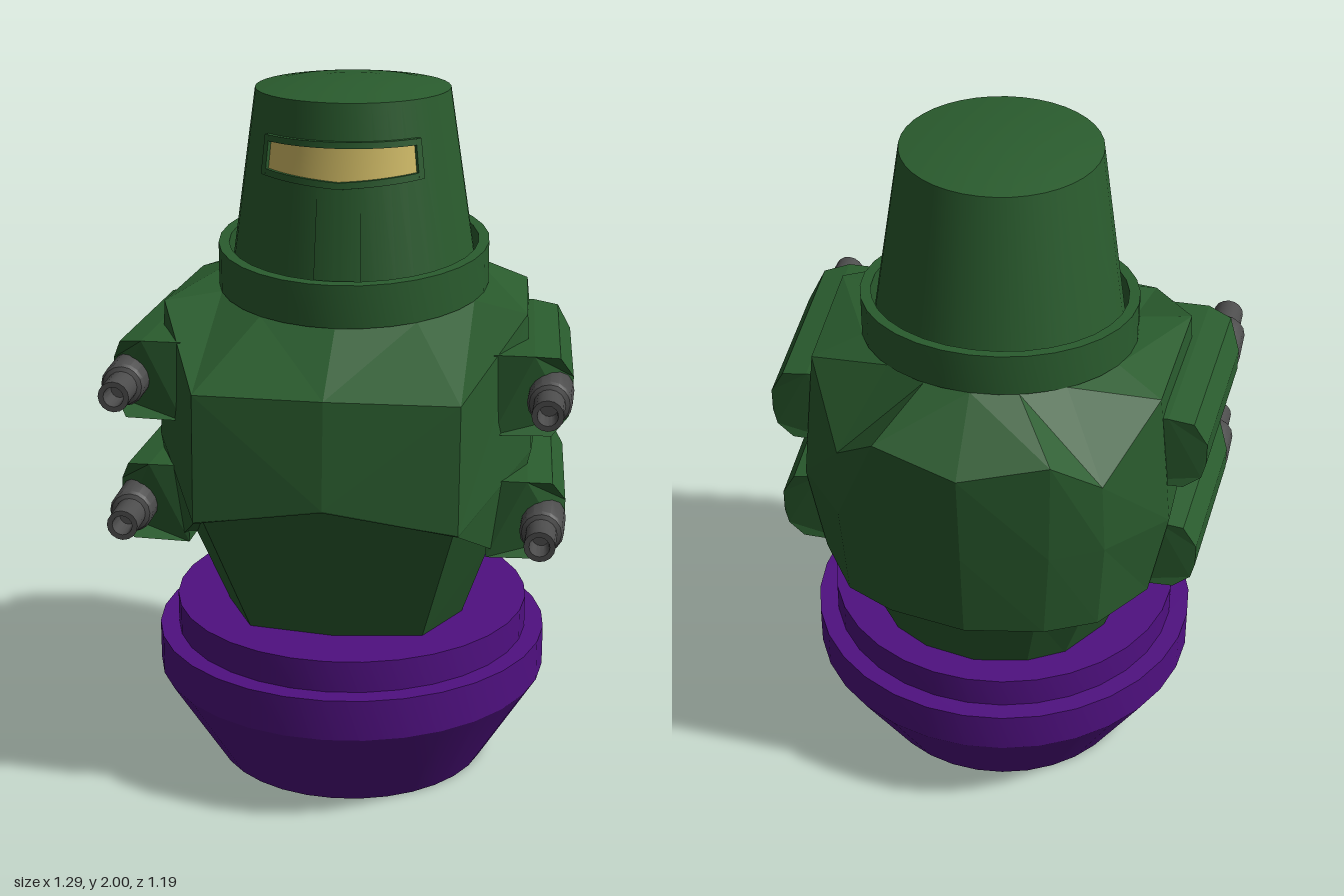
import * as THREE from 'three';
import { toCreasedNormals } from 'three/addons/utils/BufferGeometryUtils.js';

const GREEN = 0x2a5c2e, PURPLE = 0x4f1080, YELLOW = 0xd6c068, GREY = 0x4c4c4c;

const paint = (color, options = {}) => new THREE.MeshStandardMaterial({ color, ...options });

function add(parent, name, geometry, material) {
  const mesh = new THREE.Mesh(geometry, material);
  mesh.name = name;
  parent.add(mesh);
  return mesh;
}

// Move every vertex of a geometry by a rule
function warp(geometry, rule) {
  const p = geometry.attributes.position, v = new THREE.Vector3();
  for (let i = 0; i < p.count; i++) {
    rule(v.fromBufferAttribute(p, i));
    p.setXYZ(i, v.x, v.y, v.z);
  }
  geometry.computeVertexNormals();
  return geometry;
}

const lathe = (profile, sides) =>
  new THREE.LatheGeometry(profile.map(([r, y]) => new THREE.Vector2(r, y)), sides);

// Skin over half rings (front centre, round the +x side, to back centre), mirrored in x
function hullGeometry(halfRings) {
  const rings = halfRings.map(half => [
    ...half,
    ...half.slice(1, -1).reverse().map(([x, y, z]) => [-x, y, z]),
  ]);
  const n = rings[0].length, index = [];
  for (let r = 0; r < rings.length - 1; r++) {
    for (let i = 0; i < n; i++) {
      const j = (i + 1) % n;
      const a = r * n + i, b = r * n + j, c = a + n, d = b + n;
      if (i < n / 2) index.push(c, d, b, c, b, a);
      else index.push(c, d, a, d, b, a);
    }
  }
  const g = new THREE.BufferGeometry();
  g.setAttribute('position', new THREE.Float32BufferAttribute(rings.flat(2), 3));
  g.setIndex(index);
  g.computeVertexNormals();
  return g;
}

// Helmet is a leaning cone: radius and centre depend on height
const helmetRadius = y => 0.338 - (y - 1.53) * 0.148;
const helmetCentre = y => -0.043 + (y - 1.53) * 0.047;

// Box of angular width, wrapped onto the front of the helmet
function helmetStrip(a0, a1, y0, y1, inner, outer) {
  const g = new THREE.BoxGeometry(a1 - a0, y1 - y0, outer - inner, 16, 1, 1);
  g.translate((a0 + a1) / 2, (y0 + y1) / 2, (inner + outer) / 2);
  warp(g, v => {
    const a = v.x, r = helmetRadius(v.y) + v.z, z = helmetCentre(v.y);
    if (v.y > 1.75 && v.y < 1.82) v.y -= 0.018 * (1 - Math.abs(a) / 0.8);
    v.x = r * Math.sin(a);
    v.z = z + r * Math.cos(a);
  });
  return toCreasedNormals(g, 0.6);
}

function makeBase() {
  const g = lathe([[0, 0], [0.4, 0], [0.57, 0.275], [0.57, 0.395], [0.515, 0.395], [0.515, 0.487], [0, 0.487]], 32);
  g.translate(0.003, 0, 0.028);
  return toCreasedNormals(g, 0.5);
}

function makeBody(group) {
  const material = paint(GREEN, { flatShading: true, side: THREE.DoubleSide });
  const neck = [0, 0.6, 1.2, 1.95, 2.45, 2.8, Math.PI].map(a => {
    const z = -0.04 + 0.383 * Math.cos(a);
    return [0.383 * Math.sin(a), 1.416 - 0.1 * z, z];
  });
  const shoulder = [[0, 1.245, 0.565], [0.36, 1.235, 0.525], [0.51, 1.39, 0.16], [0.485, 1.385, -0.25],
    [0.365, 1.22, -0.45], [0.24, 1.33, -0.54], [0, 1.29, -0.597]];
  const waist = [[0, 0.95, 0.597], [0.36, 0.88, 0.55], [0.53, 1.0, 0.17], [0.525, 0.98, -0.25],
    [0.375, 1.0, -0.44], [0.235, 1.0, -0.515], [0, 1.0, -0.563]];
  const rim = [[0, 0.945, 0.595], [0.36, 0.875, 0.545], [0.46, 0.715, 0.25], [0.475, 0.715, -0.25],
    [0.36, 0.715, -0.42], [0.22, 0.715, -0.49], [0, 0.715, -0.53]];
  const under = [[0, 0.94, 0.545], [0.345, 0.87, 0.5], [0.42, 0.72, 0.22], [0.42, 0.72, -0.22],
    [0.32, 0.72, -0.38], [0.19, 0.72, -0.45], [0, 0.72, -0.49]];
  const foot = [[0, 0.48, 0.37], [0.245, 0.48, 0.335], [0.34, 0.48, 0.15], [0.34, 0.48, -0.17],
    [0.25, 0.48, -0.31], [0.15, 0.48, -0.37], [0, 0.48, -0.4]];
  add(group, 'upperHull', hullGeometry([neck, shoulder, waist, rim, under]), material);
  add(group, 'lowerHull', hullGeometry([under, foot]), material);
}

// Tilted ring around the neck
function makeCollar() {
  const g = lathe([[0.355, 0], [0.385, 0], [0.385, 0.12], [0.355, 0.12], [0.355, 0]], 32);
  warp(g, v => {
    v.z -= 0.04;
    v.y += 1.416 - 0.1 * v.z;
  });
  return toCreasedNormals(g, 0.5);
}

function makeHelmet() {
  const helmet = new THREE.Group();
  helmet.name = 'helmet';
  const shell = lathe([[helmetRadius(1.44), 1.44], [helmetRadius(1.975), 1.975], [0.2, 1.987], [0.1, 1.997], [0, 2]], 40);
  warp(shell, v => { v.z += helmetCentre(v.y); });
  add(helmet, 'helmetShell', toCreasedNormals(shell, 0.6), paint(GREEN, { side: THREE.DoubleSide }));

  const green = paint(GREEN);
  add(helmet, 'visor', helmetStrip(-0.73, 0.73, 1.785, 1.858, -0.02, 0.003), paint(YELLOW));
  add(helmet, 'visorFrameTop', helmetStrip(-0.79, 0.79, 1.858, 1.875, -0.02, 0.013), green);
  add(helmet, 'visorFrameBottom', helmetStrip(-0.79, 0.79, 1.767, 1.785, -0.02, 0.013), green);
  for (const s of [-1, 1]) {
    const [a0, a1] = [s * 0.73, s * 0.79].sort((a, b) => a - b);
    add(helmet, 'visorFrameSide', helmetStrip(a0, a1, 1.767, 1.875, -0.02, 0.013), green);
  }
  add(helmet, 'noseGuard', helmetStrip(-0.19, 0.19, 1.5, 1.765, -0.02, 0.004), green);
  return helmet;
}

// Faceted gun housing on the +x side, splayed outward, front end cut at a slant
function housingGeometry(cx, cy) {
  const outline = [[-0.16, -0.112], [0, -0.108], [0.047, -0.075], [0.058, -0.03], [0.058, 0.035],
    [0.02, 0.103], [-0.05, 0.115], [-0.16, 0.115]];
  const shape = new THREE.Shape(outline.map(([x, y]) => new THREE.Vector2(x, y)));
  const g = new THREE.ExtrudeGeometry(shape, { depth: 1, bevelEnabled: false });
  return warp(g, v => {
    const front = 0.33 - Math.max(0, v.x) * 1.6;
    v.z = v.z > 0.5 ? front : -0.245 + Math.max(0, v.x) * 0.2;
    v.x += cx + 0.06 * (v.z - 0.24);
    v.y += cy;
  });
}

// Stepped barrel with a hollow muzzle, pointing along +z
function barrelGeometry() {
  const g = lathe([[0, 0.2], [0.05, 0.225], [0.061, 0.25], [0.061, 0.37], [0.055, 0.38], [0.043, 0.385],
    [0.043, 0.48], [0.028, 0.48], [0.024, 0.41], [0, 0.41]], 16);
  g.rotateX(Math.PI / 2);
  return toCreasedNormals(g, 0.6);
}

function makeGuns(side) {
  const guns = new THREE.Group();
  guns.name = side > 0 ? 'leftGuns' : 'rightGuns';
  const housing = paint(GREEN, { flatShading: true }), metal = paint(GREY);
  for (const [level, x, y] of [['upper', 0.585, 1.205], ['lower', 0.574, 0.845]]) {
    add(guns, level + 'GunHousing', housingGeometry(x, y), housing);
    const barrel = add(guns, level + 'GunBarrel', barrelGeometry(), metal);
    barrel.position.set(x, y - (level === 'lower' ? 0.012 : 0), 0);
  }
  guns.scale.x = side;
  return guns;
}

export function createModel() {
  const model = new THREE.Group();
  model.name = 'armouredFigure';
  add(model, 'base', makeBase(), paint(PURPLE));
  makeBody(model);
  add(model, 'collar', makeCollar(), paint(GREEN));
  model.add(makeHelmet(), makeGuns(1), makeGuns(-1));
  return model;
}
